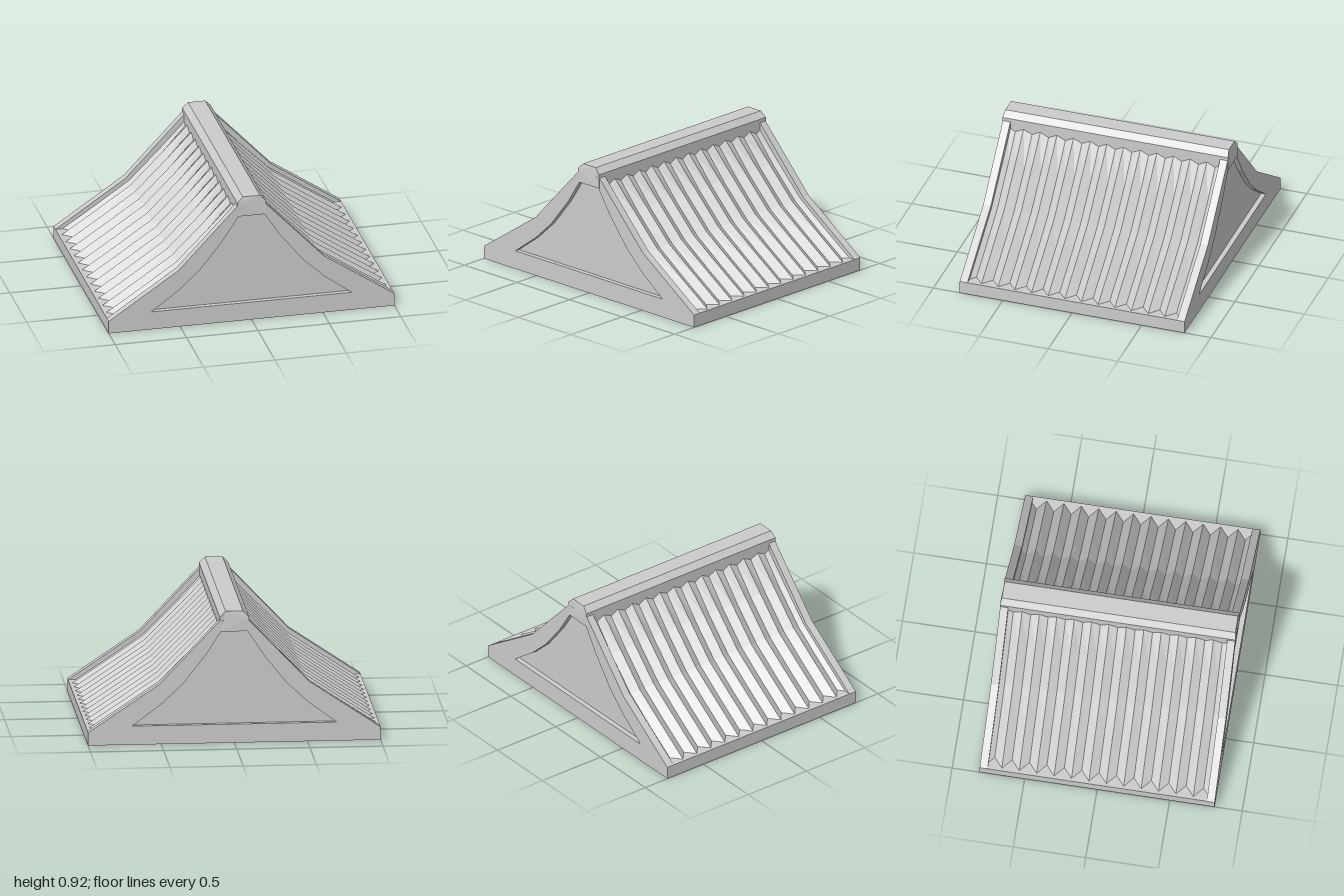
import * as THREE from 'three';

const material = new THREE.MeshStandardMaterial({ color: 0xcccccc, flatShading: true });

// Half outlines on the +x side, from the eave up to the ridge
const FRAME = [[1, 0], [1, 0.09], [0.51, 0.42], [0.1, 0.855]];
const OPENING = [[0.7, 0.13], [0.51, 0.27], [0.36, 0.41], [0.2, 0.61], [0.09, 0.78]];
const CAP = [[0.1, 0.78], [0.1, 0.88], [0.06, 0.92]];
const CREST = [[0.98, 0.09], [0.73, 0.255], [0.5, 0.41], [0.28, 0.63], [0.1, 0.815]];
const VALLEY = [[0.91, 0.09], [0.69, 0.235], [0.47, 0.39], [0.26, 0.6], [0.1, 0.785]];

const HALF_DEPTH = 0.81;
const FRAME_DEPTH = 0.055;
const PITCH = 0.12;

// Closed outline from a half outline and its mirror image
function mirrored(half) {
  const left = half.map(([x, y]) => [-x, y]).reverse();
  return [...half, ...left].map(([x, y]) => new THREE.Vector2(x, y));
}

function extrude(shape, z, depth) {
  return new THREE.ExtrudeGeometry(shape, { depth, bevelEnabled: false }).translate(0, 0, z);
}

// One pleated slope: sections run along z, alternating between valley and crest
function pleatedSlope() {
  const end = HALF_DEPTH - FRAME_DEPTH + 0.005;
  const zs = [-end];
  for (let k = -12; k <= 12; k++) zs.push(k * PITCH / 2);
  zs.push(end);
  const point = (row, z) => {
    const phase = Math.abs(z) / PITCH % 1;
    const t = 1 - Math.abs(2 * phase - 1);
    const [vx, vy] = VALLEY[row], [cx, cy] = CREST[row];
    return [vx + (cx - vx) * t, vy + (cy - vy) * t, z];
  };
  const positions = [];
  for (let j = 0; j < zs.length - 1; j++) {
    for (let i = 0; i < CREST.length - 1; i++) {
      const a = point(i, zs[j]), b = point(i, zs[j + 1]);
      const c = point(i + 1, zs[j + 1]), d = point(i + 1, zs[j]);
      positions.push(...a, ...d, ...c, ...a, ...c, ...b);
    }
  }
  const geometry = new THREE.BufferGeometry();
  geometry.setAttribute('position', new THREE.Float32BufferAttribute(positions, 3));
  geometry.computeVertexNormals();
  return geometry;
}

export function createModel() {
  const group = new THREE.Group();
  const add = (name, geometry) => {
    const mesh = new THREE.Mesh(geometry, material);
    mesh.name = name;
    group.add(mesh);
    return mesh;
  };

  // Base slab between the gable frames
  const slabDepth = 2 * (HALF_DEPTH - FRAME_DEPTH);
  add('baseSlab', new THREE.BoxGeometry(2, 0.09, slabDepth).translate(0, 0.045, 0));

  // Gable frames with a recessed panel at both ends
  for (const [end, turn] of [['front', 0], ['back', Math.PI]]) {
    const frame = new THREE.Shape(mirrored(FRAME));
    frame.holes.push(new THREE.Path(mirrored(OPENING)));
    add(end + 'GableFrame', extrude(frame, HALF_DEPTH - FRAME_DEPTH, FRAME_DEPTH)).rotation.y = turn;
    const panel = new THREE.Shape(mirrored(OPENING));
    add(end + 'GablePanel', extrude(panel, HALF_DEPTH - FRAME_DEPTH, 0.02)).rotation.y = turn;
  }

  // Pleated roof slopes
  const slope = pleatedSlope();
  add('leftRoofSlope', slope);
  add('rightRoofSlope', slope).rotation.y = Math.PI;

  // Ridge cap, its top slightly shorter than its body
  const cap = extrude(new THREE.Shape(mirrored(CAP)), -0.813, 1.626);
  const p = cap.attributes.position;
  for (let i = 0; i < p.count; i++) {
    if (p.getY(i) > 0.9) p.setZ(i, p.getZ(i) * 0.99);
  }
  cap.computeVertexNormals();
  add('ridgeCap', cap);

  return group;
}
